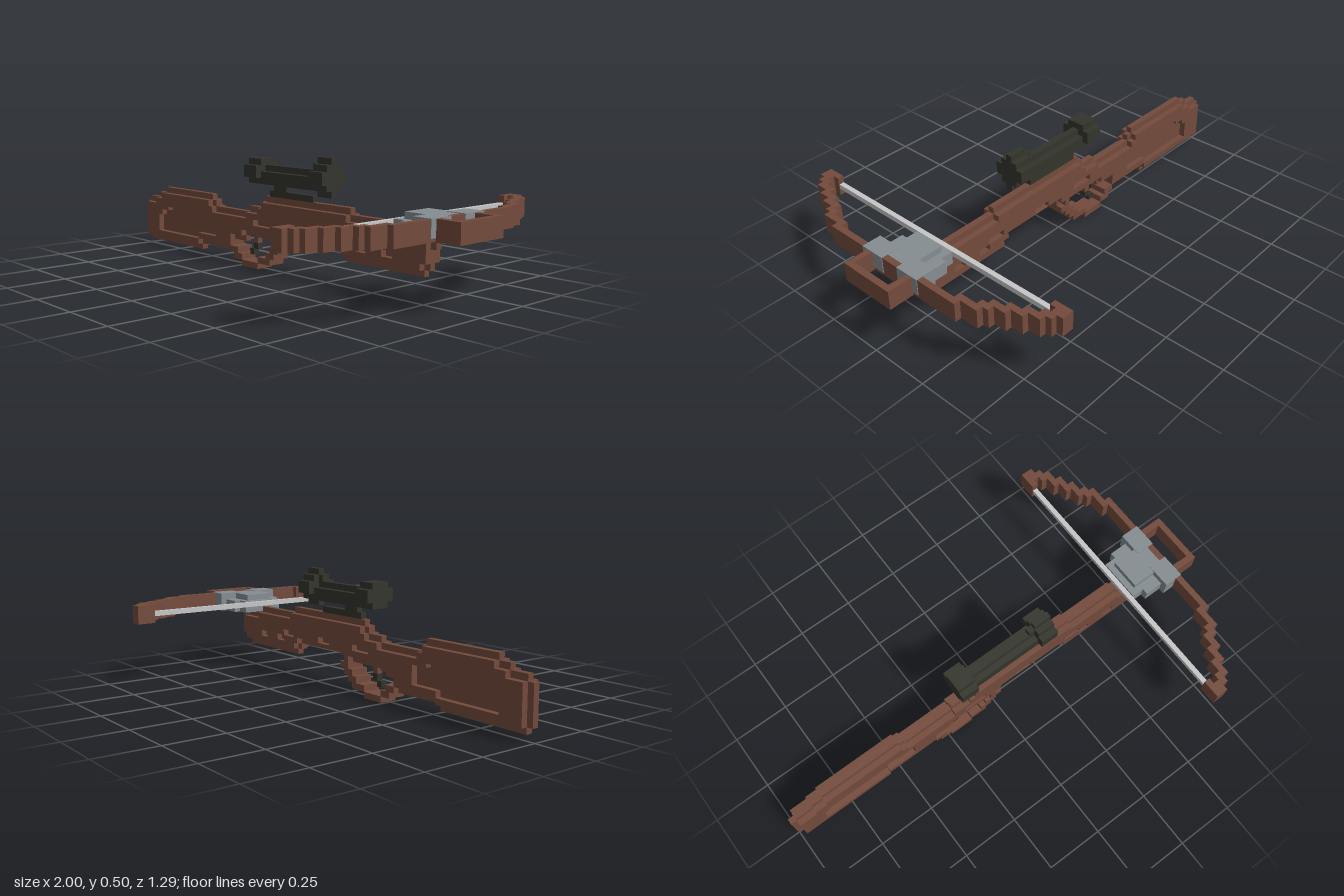
import * as THREE from 'three';

const U = 2 / 76; // size of one block

export function createModel() {
  const model = new THREE.Group();
  model.name = 'crossbow';
  const mat = (name, color) => {
    const m = new THREE.MeshStandardMaterial({ color });
    m.name = name;
    return m;
  };
  const wood = mat('wood brown', 0x734a3b);
  const black = mat('scope black', 0x33352c);
  const steel = mat('steel grey', 0x858d91);
  const cord = mat('string grey', 0xc6c6c6);

  const group = (name) => {
    const g = new THREE.Group();
    g.name = name;
    model.add(g);
    return g;
  };
  // Box between two corners, in block units
  const box = (parent, name, m, x0, x1, y0, y1, z0, z1) => {
    const mesh = new THREE.Mesh(new THREE.BoxGeometry((x1 - x0) * U, (y1 - y0) * U, (z1 - z0) * U), m);
    mesh.position.set(((x0 + x1) / 2 - 38) * U, (y0 + y1) / 2 * U, (z0 + z1) / 2 * U);
    mesh.name = name;
    parent.add(mesh);
  };

  // Stock: runs of [end column, height] for the upper and lower edges
  const top = [[1, 8], [4, 9], [6, 10], [20, 11], [21, 10], [30, 9], [33, 10], [34, 11], [53, 12], [63, 11], [70, 10]];
  const bottom = [[1, 2], [17, 1], [26, 2], [29, 4], [37, 5], [38, 4], [39, 5], [51, 6], [52, 5], [67, 4], [68, 5], [69, 8], [70, 9]];
  const edge = (runs, start, end, shift) => {
    const points = [];
    let x = start;
    for (const [stop, y] of runs) {
      if (stop <= start || x >= end) continue;
      const x1 = Math.min(stop, end);
      points.push([x, y + shift], [x1, y + shift]);
      x = x1;
    }
    return points;
  };
  const vec = ([x, y]) => new THREE.Vector2((x - 38) * U, y * U);
  const slab = (name, start, end, inset, z, holes) => {
    const outline = [...edge(bottom, start, end, inset), ...edge(top, start, end, -inset).reverse()];
    const shape = new THREE.Shape(outline.map(vec));
    shape.holes = holes.map((h) => new THREE.Path(h.map(vec)));
    const mesh = new THREE.Mesh(new THREE.ExtrudeGeometry(shape, { depth: U, bevelEnabled: false }), wood);
    mesh.position.z = z * U;
    mesh.name = name;
    stock.add(mesh);
  };
  const rect = (x0, x1, y0, y1) => [[x0, y0], [x1, y0], [x1, y1], [x0, y1]];
  const stock = group('stock');
  const recesses = [
    [[5, 3], [17, 3], [17, 4], [22, 4], [22, 7], [19, 7], [19, 7.6], [8, 7.6], [8, 7], [6, 7], [6, 6], [5, 6]],
    rect(32, 36, 7, 8), rect(42, 45, 7, 8), rect(52, 55, 7, 8),
    rect(55, 57, 6, 7), rect(60, 62, 6, 7),
  ];
  slab('stockCore', 0, 70, 0, -0.5, []);
  slab('leftSidePlate', 1, 68, 1, 0.5, recesses);
  slab('rightSidePlate', 1, 68, 1, -1.5, recesses);

  // Trigger guard and trigger
  const guard = group('triggerGuard');
  for (const [x0, x1, y] of [[26, 28, 2], [27, 29, 1], [29, 33, 0], [33, 36, 1], [35, 37, 2], [36, 38, 3], [37, 39, 4]]) {
    box(guard, 'guardStep', wood, x0, x1, y, y + 1, -1.5, 1.5);
  }
  box(guard, 'triggerMount', wood, 31, 32, 4, 5, -0.5, 0.5);
  const trigger = group('trigger');
  box(trigger, 'triggerTop', black, 31, 32, 3, 4, -0.5, 0.5);
  box(trigger, 'triggerTip', black, 30, 31, 2, 3, -0.5, 0.5);

  // Scope with rounded end bells
  const scope = group('scope');
  box(scope, 'scopeRail', black, 35, 45, 12, 13, -0.5, 0.5);
  box(scope, 'scopeStem', black, 36, 39, 13, 14, -0.5, 0.5);
  box(scope, 'scopeTube', black, 34, 46, 14, 16, -1.5, 1.5);
  box(scope, 'scopeTubeTop', black, 34, 46, 16, 17, -0.5, 0.5);
  box(scope, 'frontCollar', black, 45, 46, 14, 18, -0.5, 0.5);
  for (const [x, layers] of [[31, [2.5, 1.5]], [46, [2.5, 1.5, 0.5]]]) {
    layers.forEach((w, i) => box(scope, 'scopeBell', black, x, x + 3, 15 - i, 17 + i, -w, w));
  }

  // Bow: one stair-stepped limb on each side, plus the centre and stirrup
  const bow = group('bow');
  const limb = [[63, 21.5, 24.5], [64, 22.5, 24.5], [65, 21.5, 23.5], [66, 19.5, 22.5], [67, 17.5, 20.5],
    [68, 15.5, 18.5], [69, 14.5, 16.5], [70, 11.5, 15.5], [71, 4.5, 12.5]];
  for (const s of [1, -1]) {
    for (const [x, a, b] of limb) {
      box(bow, 'bowLimb', wood, x, x + 1, 10, 13, Math.min(s * a, s * b), Math.max(s * a, s * b));
    }
    box(bow, 'stirrupSide', wood, 72, 75, 10, 13, s * 4 - 0.5, s * 4 + 0.5);
  }
  box(bow, 'bowCentre', wood, 71, 72, 10, 13, -4.5, 4.5);
  box(bow, 'stirrupFront', wood, 75, 76, 10, 13, -4.5, 4.5);

  // Steel bracket widening toward the bow
  const bracket = group('bracket');
  box(bracket, 'bracketRear', steel, 64, 66, 10, 12, -3.5, 3.5);
  box(bracket, 'bracketMiddle', steel, 66, 69, 10, 12, -4.5, 4.5);
  box(bracket, 'bracketFront', steel, 69, 71, 10, 12, -5.5, 5.5);
  box(bracket, 'bracketRidge', steel, 65, 71, 12, 13, -2.5, 2.5);
  for (const s of [1, -1]) {
    box(bracket, 'bracketClamp', steel, 69, 72.1, 10.5, 13.1, s * 3.5 - 2, s * 3.5 + 2);
  }

  // String
  box(group('bowString'), 'string', cord, 63.1, 63.9, 11.1, 11.9, -21.5, 21.5);
  return model;
}
